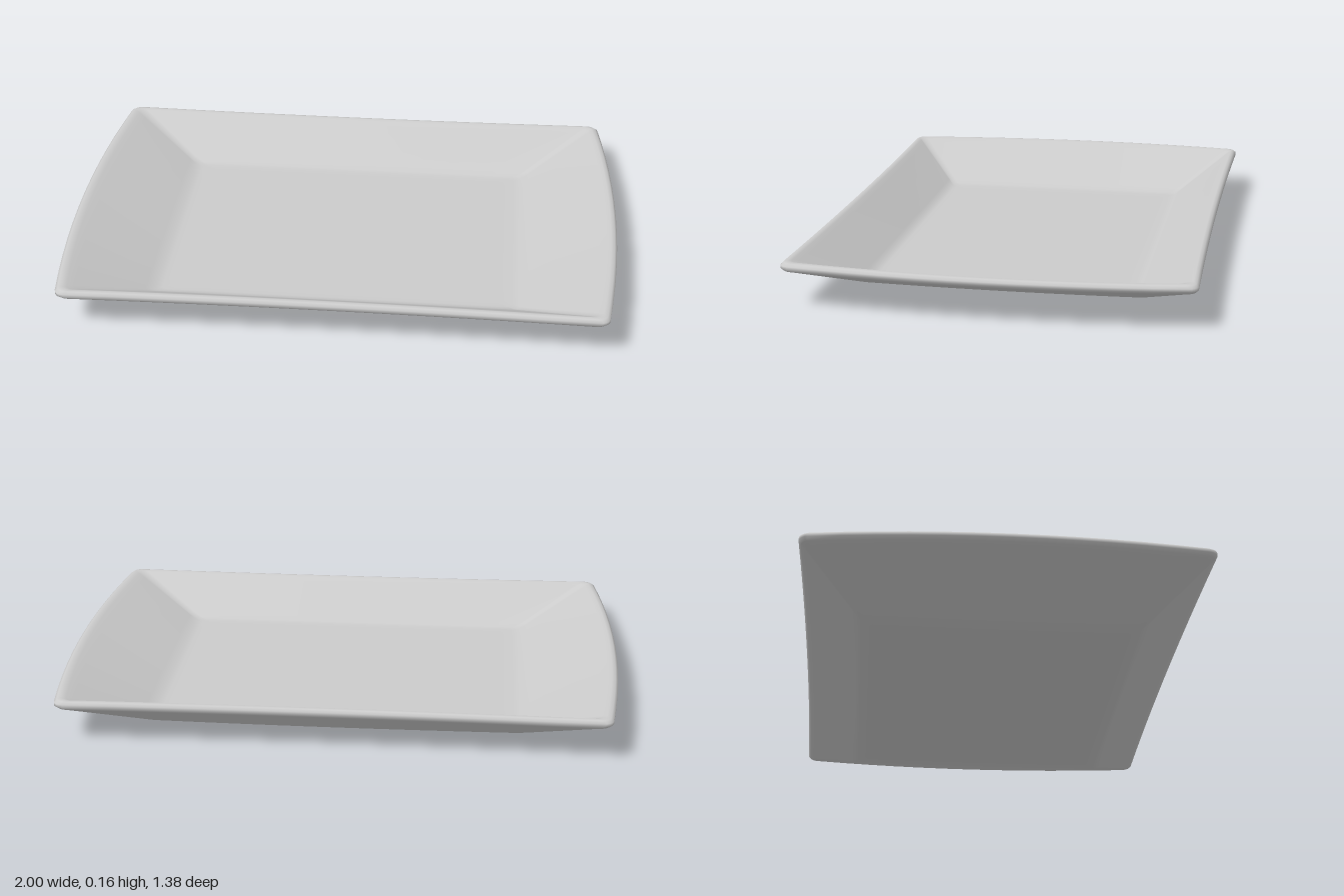
import * as THREE from 'three';

const ARC = 5, SIDE = 12;

// Closed loop: rounded rectangle, short ends bowed out, long sides slightly pinched
function ring([hx, hz, r, y, bowX, bowZ, lift]) {
  const base = [];
  const corner = (q, t) => {
    const a = (q + t) * Math.PI / 2;
    const sx = q === 0 || q === 3 ? 1 : -1, sz = q < 2 ? 1 : -1;
    return [sx * (hx - r) + r * Math.cos(a), sz * (hz - r) + r * Math.sin(a)];
  };
  for (let q = 0; q < 4; q++) {
    for (let k = 0; k <= ARC; k++) base.push(corner(q, k / ARC));
    const a = corner(q, 1), b = corner((q + 1) % 4, 0);
    for (let k = 1; k < SIDE; k++) {
      const t = k / SIDE;
      base.push([a[0] + (b[0] - a[0]) * t, a[1] + (b[1] - a[1]) * t]);
    }
  }
  return base.map(([x, z]) => {
    const u = hx ? x / hx : 0, v = hz ? z / hz : 0;
    return [x + u * bowX * (1 - v * v), y + lift * u * u * v * v, z - v * bowZ * (1 - u * u)];
  });
}

// Skin consecutive loops into one smooth surface
function skin(sections) {
  const rings = sections.map(ring), n = rings[0].length, index = [];
  for (let i = 0; i < rings.length - 1; i++) {
    for (let j = 0; j < n; j++) {
      const a = i * n + j, b = i * n + (j + 1) % n;
      index.push(a, a + n, b, b, a + n, b + n);
    }
  }
  const g = new THREE.BufferGeometry();
  g.setAttribute('position', new THREE.Float32BufferAttribute(rings.flat(2), 3));
  g.setIndex(index);
  g.computeVertexNormals();
  return g;
}

export function createModel() {
  const group = new THREE.Group();
  group.name = 'servingTray';
  // half width, half depth, corner radius, height, end bow, side pinch, corner lift
  const sections = [
    // underside
    [0, 0, 0, 0, 0, 0, 0],
    [0.60, 0.45, 0.02, 0, 0, 0, 0.003],
    [0.635, 0.477, 0.02, 0.001, 0, 0, 0.005],
    [0.66, 0.494, 0.02, 0.008, 0.002, 0, 0.004],
    // outer wall
    [0.69, 0.514, 0.02, 0.022, 0.006, 0.001, 0.002],
    [0.915, 0.667, 0.025, 0.117, 0.045, 0.010, 0],
    // rolled rim
    [0.938, 0.683, 0.028, 0.126, 0.049, 0.012, 0],
    [0.949, 0.691, 0.03, 0.136, 0.05, 0.012, 0],
    [0.949, 0.691, 0.03, 0.147, 0.05, 0.012, 0],
    [0.94, 0.683, 0.03, 0.155, 0.05, 0.012, 0],
    [0.927, 0.672, 0.028, 0.157, 0.05, 0.012, 0],
    [0.913, 0.662, 0.025, 0.152, 0.049, 0.012, 0],
    // inner wall
    [0.89, 0.645, 0.025, 0.142, 0.045, 0.011, 0],
    [0.68, 0.487, 0.02, 0.042, 0.004, 0.001, 0],
    // inner floor
    [0.65, 0.467, 0.02, 0.031, 0, 0, 0],
    [0.625, 0.448, 0.02, 0.028, 0, 0, 0],
    [0.58, 0.42, 0.02, 0.028, 0, 0, 0],
    [0, 0, 0, 0.028, 0, 0, 0],
  ];
  const tray = new THREE.Mesh(skin(sections), new THREE.MeshStandardMaterial({ color: 0xcccccc }));
  tray.name = 'trayBody';
  group.add(tray);
  return group;
}
